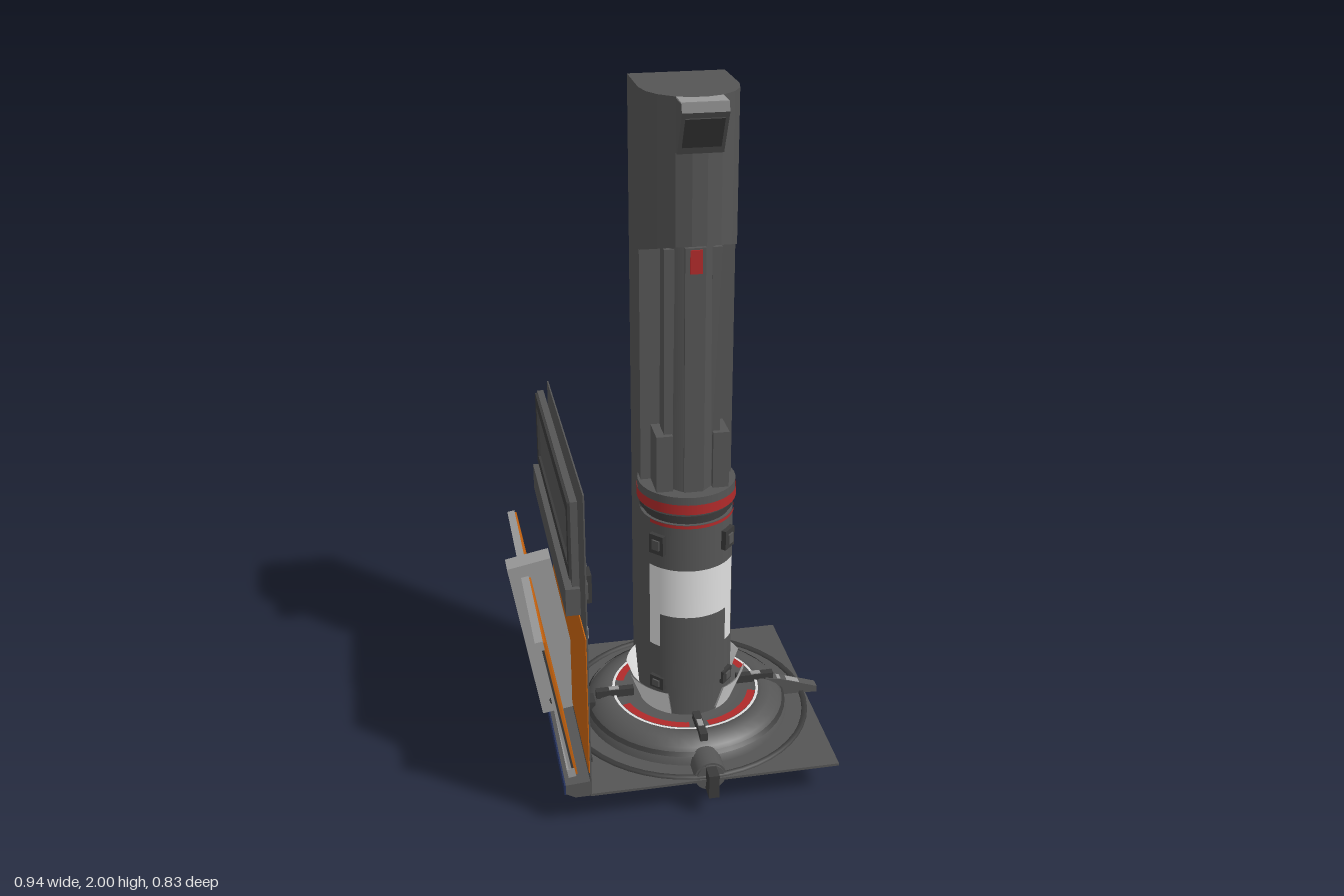
import * as THREE from 'three';

const mat = (name, color, double) => {
  const m = new THREE.MeshStandardMaterial({ color });
  m.name = name;
  if (double) m.side = THREE.DoubleSide;
  return m;
};

export function createModel() {
  const grey = mat('gunmetal', 0x555555, true);
  const dark = mat('dark metal', 0x3a3a3a, true);
  const light = mat('light metal', 0x999999);
  const white = mat('white paint', 0xdedede, true);
  const red = mat('red paint', 0xb02a2a, true);
  const orange = mat('orange backing', 0xc8640f);
  const blue = mat('blue strip', 0x26335f);

  const root = new THREE.Group();
  const tower = new THREE.Group(); // everything round shares this axis
  tower.name = 'tower';
  tower.position.x = 0.055;
  root.add(tower);

  const add = (parent, name, geo, m, x = 0, y = 0, z = 0) => {
    const mesh = new THREE.Mesh(geo, m);
    mesh.name = name;
    mesh.position.set(x, y, z);
    parent.add(mesh);
    return mesh;
  };
  // box given by its limits
  const box = (parent, name, m, x0, x1, y0, y1, z0, z1) =>
    add(parent, name, new THREE.BoxGeometry(x1 - x0, y1 - y0, z1 - z0), m,
      (x0 + x1) / 2, (y0 + y1) / 2, (z0 + z1) / 2);
  // curved skin; angles in degrees, 0 is the front
  const skin = (name, m, rTop, rBottom, y0, y1, a0 = 0, a1 = 360) =>
    add(tower, name, new THREE.CylinderGeometry(rTop, rBottom, y1 - y0, 40, 1, true,
      THREE.MathUtils.degToRad(a0), THREE.MathUtils.degToRad(a1 - a0)), m, 0, (y0 + y1) / 2, 0);
  const lathe = (name, m, pts, a0 = 0, a1 = 360) =>
    add(tower, name, new THREE.LatheGeometry(pts.map(p => new THREE.Vector2(...p)), 48,
      THREE.MathUtils.degToRad(a0), THREE.MathUtils.degToRad(a1 - a0)), m);

  // base plate, rings and dome
  box(root, 'basePlate', grey, -0.29, 0.433, 0.1, 0.108, -0.378, 0.378);
  lathe('outerRing', dark, [[0.375, 0.107], [0.373, 0.115], [0.36, 0.115], [0.357, 0.107]]);
  lathe('dome', grey, [[0.31, 0.106], [0.303, 0.128], [0.285, 0.152], [0.26, 0.168], [0.235, 0.174],
    [0.222, 0.168], [0.2, 0.162], [0.12, 0.162]]);
  lathe('domeRim', dark, [[0.305, 0.134], [0.3, 0.14], [0.296, 0.145]]);
  lathe('whiteRing', white, [[0.223, 0.172], [0.215, 0.172]]);

  // flared petals and red arcs, one per quadrant
  for (let q = 0; q < 4; q++) {
    const flip = q % 2 === 1;
    const arc = (a, b) => flip ? [q * 90 + 90 - b, q * 90 + 90 - a] : [q * 90 + a, q * 90 + b];
    lathe('redArc', red, [[0.214, 0.173], [0.19, 0.173]], ...arc(8, 72));
    skin('petal', white, 0.178, 0.142, 0.165, 0.26, ...arc(28, 78));
    skin('petalBack', light, 0.17, 0.136, 0.165, 0.255, ...arc(28, 78));
    const spoke = new THREE.Group();
    spoke.name = 'spoke';
    spoke.rotation.y = q * Math.PI / 2;
    tower.add(spoke);
    box(spoke, 'spokeArm', dark, -0.011, 0.011, 0.165, 0.19, 0.16, 0.275);
    box(spoke, 'spokeClip', light, -0.008, 0.008, 0.186, 0.193, 0.205, 0.235);
  }

  // pipe under the base with capped ends, and central junction box
  const pipe = (name, r, z0, z1, m) => {
    const p = add(tower, name, new THREE.CylinderGeometry(r, r, z1 - z0, 24), m, 0, 0.108, (z0 + z1) / 2);
    p.rotation.x = Math.PI / 2;
  };
  pipe('crossPipe', 0.04, -0.37, 0.37, grey);
  for (const s of [-1, 1]) {
    pipe('pipeSleeve', 0.046, s * 0.325 - 0.04, s * 0.325 + 0.04, grey);
    box(tower, 'pipeCap', dark, -0.015, 0.015, 0.07, 0.145, s * 0.39 - 0.025, s * 0.39 + 0.025);
  }
  box(tower, 'junctionBox', grey, -0.097, 0.097, 0.012, 0.102, -0.1, 0.1);
  add(tower, 'junctionPort', new THREE.CylinderGeometry(0.022, 0.022, 0.012, 16), dark, 0, 0.006, 0);

  // sloping brackets at the sides of the base
  const bracketShape = new THREE.Shape([[0.25, 0.11], [0.25, 0.175], [0.3, 0.165], [0.415, 0.125], [0.415, 0.105]]
    .map(p => new THREE.Vector2(...p)));
  const bracketGeo = new THREE.ExtrudeGeometry(bracketShape, { depth: 0.03, bevelEnabled: false });
  add(tower, 'sideBracket', bracketGeo, grey, 0, 0, -0.015);
  box(tower, 'bracketPad', light, 0.285, 0.36, 0.15, 0.157, -0.012, 0.012).rotation.z = -0.33;
  box(tower, 'sideBracketRight', dark, -0.34, -0.28, 0.11, 0.165, -0.025, 0.025);

  // tall rear housing
  box(tower, 'rearHousing', grey, -0.132, 0.13, 0.11, 1.58, -0.157, 0);

  // head: rounded front, underside rising towards the front
  const outline = [[-0.132, 0.157], [0.13, 0.157], [0.13, -0.01], [0.12, -0.06], [0.098, -0.1],
    [0.06, -0.135], [0.02, -0.148], [-0.02, -0.148], [-0.06, -0.135], [-0.1, -0.1], [-0.122, -0.06], [-0.132, -0.01]];
  const headGeo = new THREE.ExtrudeGeometry(new THREE.Shape(outline.map(p => new THREE.Vector2(...p))),
    { depth: 0.43, bevelEnabled: false });
  headGeo.rotateX(-Math.PI / 2);
  const hp = headGeo.attributes.position;
  for (let i = 0; i < hp.count; i++)
    if (hp.getY(i) < 0.1) hp.setY(i, Math.max(0, hp.getZ(i)) * 0.33);
  headGeo.computeVertexNormals();
  add(tower, 'head', headGeo, grey, 0, 1.57, 0);

  // visor on the head
  const visorShape = new THREE.Shape([[0.1, 1.86], [0.15, 1.86], [0.21, 1.975], [0.2, 1.998], [0.1, 1.998]]
    .map(p => new THREE.Vector2(...p)));
  const visorGeo = new THREE.ExtrudeGeometry(visorShape, { depth: 0.12, bevelEnabled: false });
  visorGeo.rotateY(-Math.PI / 2);
  add(tower, 'visor', visorGeo, grey, 0.06, 0, 0);
  box(tower, 'visorTop', light, -0.06, 0.06, 1.996, 2, 0.125, 0.2);
  box(tower, 'visorLens', dark, -0.05, 0.05, 1.875, 1.965, -0.003, 0.003)
    .position.set(0, 1.92, 0.182);
  tower.getObjectByName('visorLens').rotation.x = 0.48;

  // exposed mast with ribs
  add(tower, 'mast', new THREE.CylinderGeometry(0.08, 0.085, 0.75, 8), grey, 0, 1.235, 0.02).rotation.y = Math.PI / 8;
  box(tower, 'mastRib', grey, -0.028, 0.028, 0.88, 1.6, 0.06, 0.105);
  box(tower, 'mastMark', red, -0.015, 0.018, 1.53, 1.595, 0.105, 0.109);
  for (const s of [-1, 1]) {
    box(tower, 'mastSideRib', grey, s * 0.065 - 0.014, s * 0.065 + 0.014, 0.88, 1.59, 0.02, 0.075);
    box(tower, 'mastBlock', grey, s * 0.08 - 0.023, s * 0.08 + 0.023, 0.88, 1.06, -0.01, 0.09);
  }

  // lower barrel and its bands
  add(tower, 'barrel', new THREE.CylinderGeometry(0.134, 0.137, 0.64, 40), grey, 0, 0.48, 0);
  add(tower, 'neck', new THREE.CylinderGeometry(0.125, 0.125, 0.06, 40), dark, 0, 0.82, 0);
  add(tower, 'collar', new THREE.CylinderGeometry(0.14, 0.14, 0.055, 40), grey, 0, 0.863, 0);
  add(tower, 'collarRing', new THREE.CylinderGeometry(0.135, 0.135, 0.014, 40), dark, 0, 0.822, 0);
  skin('redBand', red, 0.1425, 0.1425, 0.838, 0.868);
  skin('redLine', red, 0.1365, 0.1365, 0.79, 0.8, -60, 110);

  // white panel, dark hatch and small fittings on the barrel
  skin('whitePanel', white, 0.139, 0.139, 0.5, 0.655, -60, 60);
  skin('whitePanelSide', white, 0.139, 0.139, 0.39, 0.5, 44, 60);
  skin('whitePanelSide', white, 0.139, 0.139, 0.39, 0.5, -60, -44);
  skin('hatch', grey, 0.141, 0.141, 0.26, 0.5, -43, 43);
  for (const s of [-1, 1]) for (const y of [0.73, 0.265]) {
    const g = new THREE.Group();
    g.name = 'fitting';
    g.rotation.y = s * 0.82;
    tower.add(g);
    const h = y > 0.5 ? 0.03 : 0.02;
    box(g, 'fittingBody', dark, -0.024, 0.024, y - h, y + h, 0.125, 0.147);
    box(g, 'fittingCap', grey, -0.012, 0.012, y - h / 2, y + h / 2, 0.145, 0.152);
  }

  // upright wall beside the tower
  const wall = new THREE.Group();
  wall.name = 'wall';
  root.add(wall);
  box(wall, 'wallSheet', grey, -0.293, -0.289, 0.1, 1.053, -0.378, 0.378);
  box(wall, 'wallBacking', orange, -0.296, -0.293, 0.18, 0.62, -0.376, 0.376);
  box(wall, 'wallBand', grey, -0.289, -0.285, 0.745, 0.79, -0.378, 0.378);
  box(wall, 'wallSeam', dark, -0.289, -0.285, 0.218, 0.23, -0.378, 0.378);
  box(wall, 'vent', light, -0.289, -0.285, 0.615, 0.645, 0.3, 0.365);
  box(wall, 'upperPanel', grey, -0.325, -0.306, 0.7, 1.03, -0.365, 0.365);
  for (const [y0, y1, z0, z1] of [[0.99, 1.025, -0.36, 0.36], [0.8, 0.83, -0.36, 0.36],
    [0.83, 0.99, -0.36, -0.33], [0.83, 0.99, 0.33, 0.36]])
    box(wall, 'upperFrame', dark, -0.332, -0.325, y0, y1, z0, z1);
  box(wall, 'crossBar', grey, -0.345, -0.306, 0.7, 0.78, -0.378, 0.378);
  for (const s of [-1, 1]) {
    box(wall, 'clampRail', dark, -0.289, -0.272, 0.715, 0.765, s * 0.215 - 0.1, s * 0.215 + 0.1);
    box(wall, 'clampPad', grey, -0.274, -0.265, 0.728, 0.752, s * 0.2 - 0.06, s * 0.2 + 0.06);
    box(wall, 'clampEnd', dark, -0.289, -0.268, 0.7, 0.785, s * 0.3 - 0.025, s * 0.3 + 0.025);
  }

  // foot flap with blue strip
  const flapShape = new THREE.Shape([[-0.29, 0.1], [-0.29, 0.15], [-0.362, 0.145], [-0.362, 0.115], [-0.335, 0.1]]
    .map(p => new THREE.Vector2(...p)));
  add(wall, 'flap', new THREE.ExtrudeGeometry(flapShape, { depth: 0.75, bevelEnabled: false }), grey, 0, 0, -0.375);
  box(wall, 'blueStrip', blue, -0.366, -0.361, 0.112, 0.143, -0.374, 0.374);

  // tilted panel: orange inner face, ribbed outer face
  const tilt = new THREE.Group();
  tilt.name = 'tiltedPanel';
  tilt.position.set(-0.325, 0.16, 0);
  tilt.rotation.z = 0.17;
  root.add(tilt);
  box(tilt, 'panelBacking', orange, -0.006, 0.001, 0.02, 0.47, -0.374, 0.374);
  box(tilt, 'panelSkin', dark, -0.012, -0.006, 0.02, 0.47, -0.374, 0.374);
  for (const y of [0.03, 0.462]) box(tilt, 'panelRail', light, -0.026, -0.004, y - 0.014, y + 0.014, -0.376, 0.376);
  for (const s of [-1, 1]) {
    for (const z of [0.06, 0.363])
      box(tilt, 'panelStile', light, -0.02, -0.012, 0.03, 0.46, s * z - 0.011, s * z + 0.011);
    // star of ribs in each bay
    for (const [a, len] of [[0, 0.43], [Math.PI / 2, 0.3], [0.6, 0.5], [-0.6, 0.5]])
      add(tilt, 'panelRib', new THREE.BoxGeometry(0.007, len, 0.013), light, -0.0155, 0.245, s * 0.21).rotation.x = a;
  }

  // tilted post at the middle of the panel
  const postShape = new THREE.Shape([[-0.47, 0.655], [-0.345, 0.68], [-0.255, 0.17], [-0.385, 0.15]]
    .map(p => new THREE.Vector2(...p)));
  add(root, 'post', new THREE.ExtrudeGeometry(postShape, { depth: 0.06, bevelEnabled: false }), light, 0, 0, -0.03);
  add(root, 'postPivot', new THREE.CylinderGeometry(0.014, 0.014, 0.07, 16), dark, -0.35, 0.195, 0).rotation.x = Math.PI / 2;

  return root;
}
